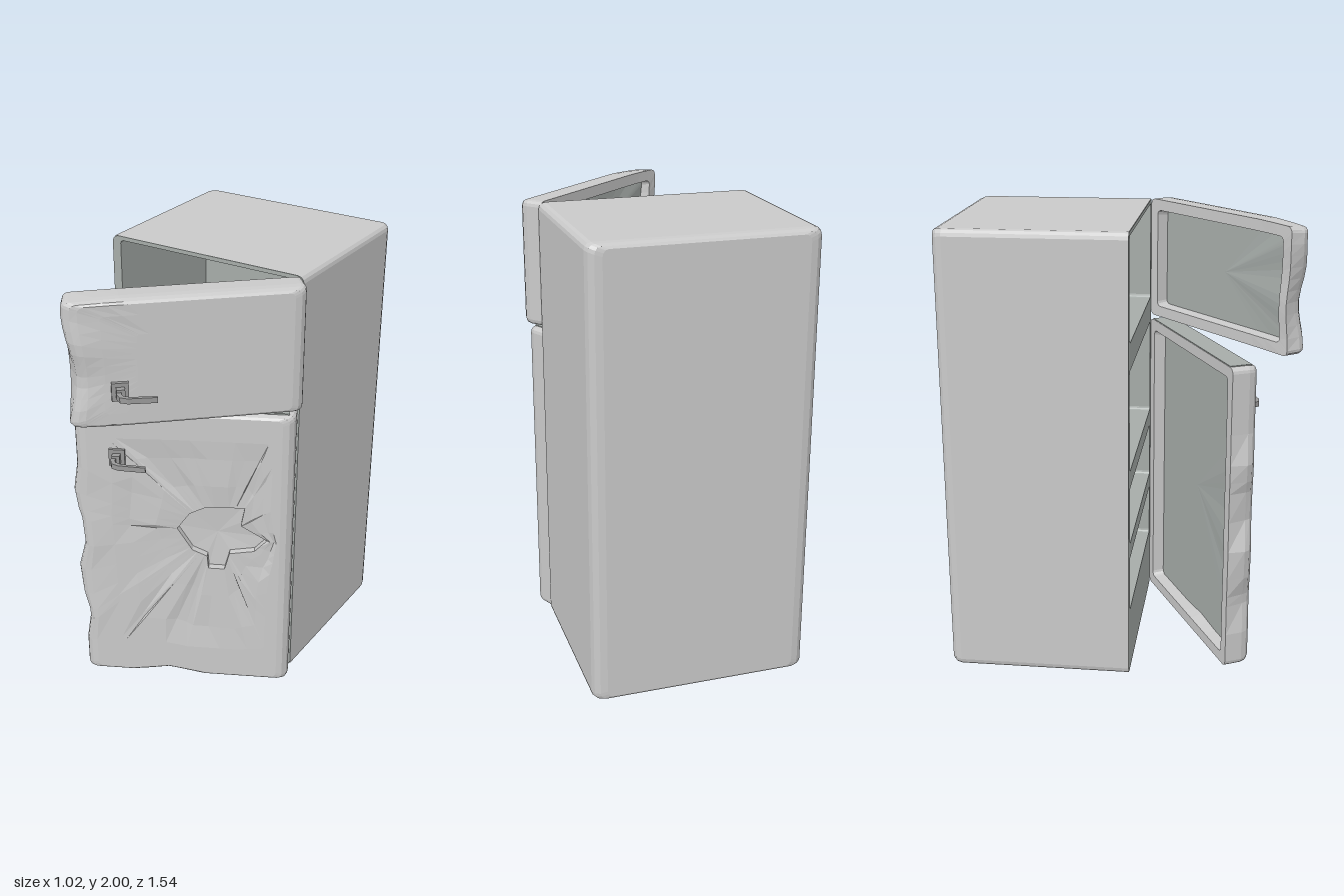
import * as THREE from 'three';

const shell = new THREE.MeshStandardMaterial({ color: 0xcacaca });
shell.name = 'grey enamel';
const inner = new THREE.MeshStandardMaterial({ color: 0xa6aca9 });
inner.name = 'inner lining';
const metal = new THREE.MeshStandardMaterial({ color: 0x9a9a9a });
metal.name = 'handle metal';

function part(parent, name, geometry, material, x = 0, y = 0, z = 0) {
  const m = new THREE.Mesh(geometry, material);
  m.name = name;
  m.position.set(x, y, z);
  parent.add(m);
  return m;
}

// Faceted skin over equal-length loops of [x, y, z], ordered front to back
function loft(loops) {
  const pos = [];
  const tri = (...p) => {
    const [a, b, c] = p.map((q) => new THREE.Vector3(...q));
    if (b.clone().sub(a).cross(c.clone().sub(a)).length() > 1e-9) p.forEach((q) => pos.push(...q));
  };
  for (let k = 0; k + 1 < loops.length; k++) {
    const a = loops[k], b = loops[k + 1], n = a.length;
    for (let i = 0; i < n; i++) {
      const j = (i + 1) % n;
      tri(a[i], b[i], b[j]);
      tri(a[i], b[j], a[j]);
    }
  }
  const g = new THREE.BufferGeometry();
  g.setAttribute('position', new THREE.Float32BufferAttribute(pos, 3));
  g.computeVertexNormals();
  return g;
}

// Counter-clockwise rounded rectangle with subdivided sides
function roundedRect(x0, y0, x1, y1, r, n) {
  const corners = [[x1 - r, y0 + r, -1], [x1 - r, y1 - r, 0], [x0 + r, y1 - r, 1], [x0 + r, y0 + r, 2]];
  const pts = [];
  corners.forEach(([cx, cy, q], c) => {
    for (let i = 0; i <= 3; i++) {
      const a = (q + i / 3) * Math.PI / 2;
      pts.push([cx + r * Math.cos(a), cy + r * Math.sin(a)]);
    }
    const p = pts[pts.length - 1], [nx, ny, nq] = corners[(c + 1) % 4];
    const e = [nx + r * Math.cos(nq * Math.PI / 2), ny + r * Math.sin(nq * Math.PI / 2)];
    for (let i = 1; i < n; i++) pts.push([p[0] + (e[0] - p[0]) * i / n, p[1] + (e[1] - p[1]) * i / n]);
  });
  return pts;
}

// Point where a ray from c leaves a polygon
function hit(poly, c, ang) {
  const dx = Math.cos(ang), dy = Math.sin(ang);
  let best = 0;
  poly.forEach((p, i) => {
    const q = poly[(i + 1) % poly.length];
    const ex = q[0] - p[0], ey = q[1] - p[1], det = ex * dy - ey * dx;
    if (Math.abs(det) < 1e-12) return;
    const px = p[0] - c[0], py = p[1] - c[1];
    const t = (ex * py - ey * px) / det, s = (dx * py - dy * px) / det;
    if (s >= -1e-6 && s <= 1 + 1e-6 && t > best) best = t;
  });
  return [c[0] + dx * best, c[1] + dy * best];
}

const noise = (i, k) => {
  const s = Math.sin(i * 12.99 + k * 78.23) * 43758.55;
  return (s - Math.floor(s)) * 2 - 1;
};

// Door hinged at x = 0 and reaching to -x, outer face towards +z
function buildDoor({ name, angle, width: W, y0, y1, T, centre, hole, rings, dent, handleY }) {
  const door = new THREE.Group();
  door.name = name;
  door.position.set(0.44, 0, 0.04);
  door.rotation.y = angle;

  const base = roundedRect(-W, y0, 0, y1, 0.025, 10);
  const angOf = (p) => Math.atan2(p[1] - centre[1], p[0] - centre[0]);
  const angles = [...base, ...(hole || [])].map(angOf).sort((a, b) => a - b)
    .filter((a, i, l) => i === 0 || a - l[i - 1] > 1e-4);
  const rim = angles.map((a) => hit(base, centre, a));
  const core = angles.map((a) => (hole ? hit(hole, centre, a) : centre));
  const mx = -W / 2, my = (y0 + y1) / 2, H = y1 - y0;
  const inset = (ix, iy, z) => rim.map(([x, y]) =>
    [mx + (x - mx) * (1 - 2 * ix / W), my + (y - my) * (1 - 2 * iy / H), z]);

  const loops = [];
  if (hole) {
    // Punched hole: floor and wall
    loops.push(core.map(() => [...centre, T - 0.055]));
    loops.push(core.map((p) => [...p, T - 0.045]));
    loops.push(core.map((p) => [...p, T - 0.012]));
  } else loops.push(core.map((p) => [...p, T]));
  const edge = inset(0.055, 0.02, T);
  rings.forEach(([t, amp], k) => loops.push(core.map((p, i) => [
    p[0] + (edge[i][0] - p[0]) * t, p[1] + (edge[i][1] - p[1]) * t,
    T - Math.abs(noise(Math.floor(i / 3), k)) * amp])));
  for (let k = 0; k <= 3; k++) {
    const a = k / 3 * Math.PI / 2, f = 1 - Math.sin(a);
    loops.push(inset(0.055 * f, 0.02 * f, T - 0.05 * (1 - Math.cos(a))));
  }
  loops.push(inset(0, 0, 0), inset(0.05, 0.05, 0), inset(0.055, 0.055, 0.055));
  const bent = loops.map((l) => l.map(dent));
  part(door, 'doorShell', loft(bent), shell);
  const floor = bent[bent.length - 1];
  part(door, 'doorLining', loft([floor, floor.map(() => [mx, my, 0.055])]), inner);

  // Latch handle: mount, boss and bent lever
  const handle = new THREE.Group();
  handle.name = 'handle';
  handle.position.set(-0.77, handleY, T);
  door.add(handle);
  part(handle, 'handleMount', new THREE.BoxGeometry(0.07, 0.08, 0.025), metal);
  part(handle, 'handleBoss', new THREE.BoxGeometry(0.035, 0.045, 0.04), metal, 0, 0, 0.02);
  const lever = new THREE.Shape([[-0.01, 0], [-0.02, 0.05], [-0.01, 0.085], [0.02, 0.1], [0.14, 0.108],
    [0.14, 0.095], [0.03, 0.085], [0.005, 0.07], [0, 0.05], [0.012, 0]]
    .map(([x, z]) => new THREE.Vector2(x, -z)));
  const lg = new THREE.ExtrudeGeometry(lever, { depth: 0.024, bevelEnabled: false });
  lg.rotateX(-Math.PI / 2);
  part(handle, 'handleLever', lg, metal, 0, -0.012, 0);
  return door;
}

export function createModel() {
  const fridge = new THREE.Group();
  fridge.name = 'refrigerator';

  // Cabinet shell, open at the front, with rounded back edges
  const X0 = -0.52, X1 = 0.45, cx = (X0 + X1) / 2;
  const outline = roundedRect(X0, 0, X1, 2, 0.03, 1);
  const ring = (ix, iy, z) => outline.map(([x, y]) =>
    [cx + (x - cx) * (1 - 2 * ix / (X1 - X0)), 1 + (y - 1) * (1 - iy), z]);
  const loops = [ring(0, 0, 0.04)];
  for (let k = 0; k <= 3; k++) {
    const a = k / 3 * Math.PI / 2, f = 1 - Math.cos(a);
    loops.push(ring(0.06 * f, 0.02 * f, -0.73 - 0.05 * Math.sin(a)));
  }
  loops.push(outline.map(() => [cx, 1, -0.78]));
  part(fridge, 'cabinetShell', loft(loops), shell);

  // Lining block with freezer and shelf compartments cut in
  const front = new THREE.Shape(ring(0.002, 0.002, 0).map(([x, y]) => new THREE.Vector2(x, y)));
  for (const [a, b] of [[1.53, 1.98], [0.96, 1.41], [0.62, 0.88], [0.3, 0.55]]) {
    front.holes.push(new THREE.Path(roundedRect(-0.475, a, 0.405, b, 0.015, 1)
      .map(([x, y]) => new THREE.Vector2(x, y))));
  }
  part(fridge, 'cabinetLining', new THREE.ExtrudeGeometry(front, { depth: 0.7, bevelEnabled: false }),
    inner, 0, 0, -0.66);
  part(fridge, 'compartmentBack', new THREE.BoxGeometry(0.9, 1.8, 0.02), inner, cx, 1.09, -0.66);

  // Main door with a torn hole, crumpled latch edge and bottom dent
  const cosA = 0.894;
  const local = ([x, y]) => [(x - 0.5) / cosA, y];
  const hole = [[0.04, 0.83], [0.09, 0.91], [0.15, 0.945], [0.31, 0.955], [0.295, 0.86], [0.4, 0.79],
    [0.35, 0.73], [0.25, 0.71], [0.23, 0.625], [0.165, 0.625], [0.16, 0.69], [0.1, 0.72]].map(local);
  const mainDoor = buildDoor({
    name: 'mainDoor', angle: 0.463, width: 0.96, y0: 0.01, y1: 1.42, T: 0.13,
    centre: local([0.2, 0.8]), hole, rings: [[0.25, 0.02], [0.55, 0.014], [0.75, 0]], handleY: 1.19,
    dent: ([x, y, z]) => {
      const latch = Math.max(0, (-x - 0.84) / 0.12) * (z > 0.02 ? 1 : 0.3);
      const wave = y > 0.2 && y < 1.1 ? Math.sin((y - 0.2) * 14) : 0;
      const low = Math.max(0, 1 - Math.abs(x + 0.56) / 0.16) * Math.max(0, 1 - (y - 0.01) / 0.08);
      return [x + latch * wave * 0.022, y + low * (z > 0.03 ? 0.035 : 0), z + latch * wave * 0.008];
    },
  });
  part(mainDoor, 'doorTopCap', new THREE.BoxGeometry(0.9, 0.008, 0.1), inner, -0.48, 1.42, 0.052);
  fridge.add(mainDoor);

  // Freezer door, opened wider, with a buckled latch side
  fridge.add(buildDoor({
    name: 'freezerDoor', angle: 0.742, width: 0.965, y0: 1.44, y1: 2, T: 0.125,
    centre: [-0.48, 1.72], rings: [[0.5, 0], [0.82, 0]], handleY: 1.61,
    dent: ([x, y, z]) => {
      const latch = Math.max(0, (-x - 0.78) / 0.18) * (z > 0.02 ? 1 : 0.4);
      const wave = Math.sin((y - 1.44) * 11 + 2.4);
      const top = Math.max(0, (y - 1.9) / 0.1);
      return [x + latch * wave * -0.02, y - latch * top * 0.012, z - latch * (0.006 + 0.016 * wave * wave)];
    },
  }));
  return fridge;
}
